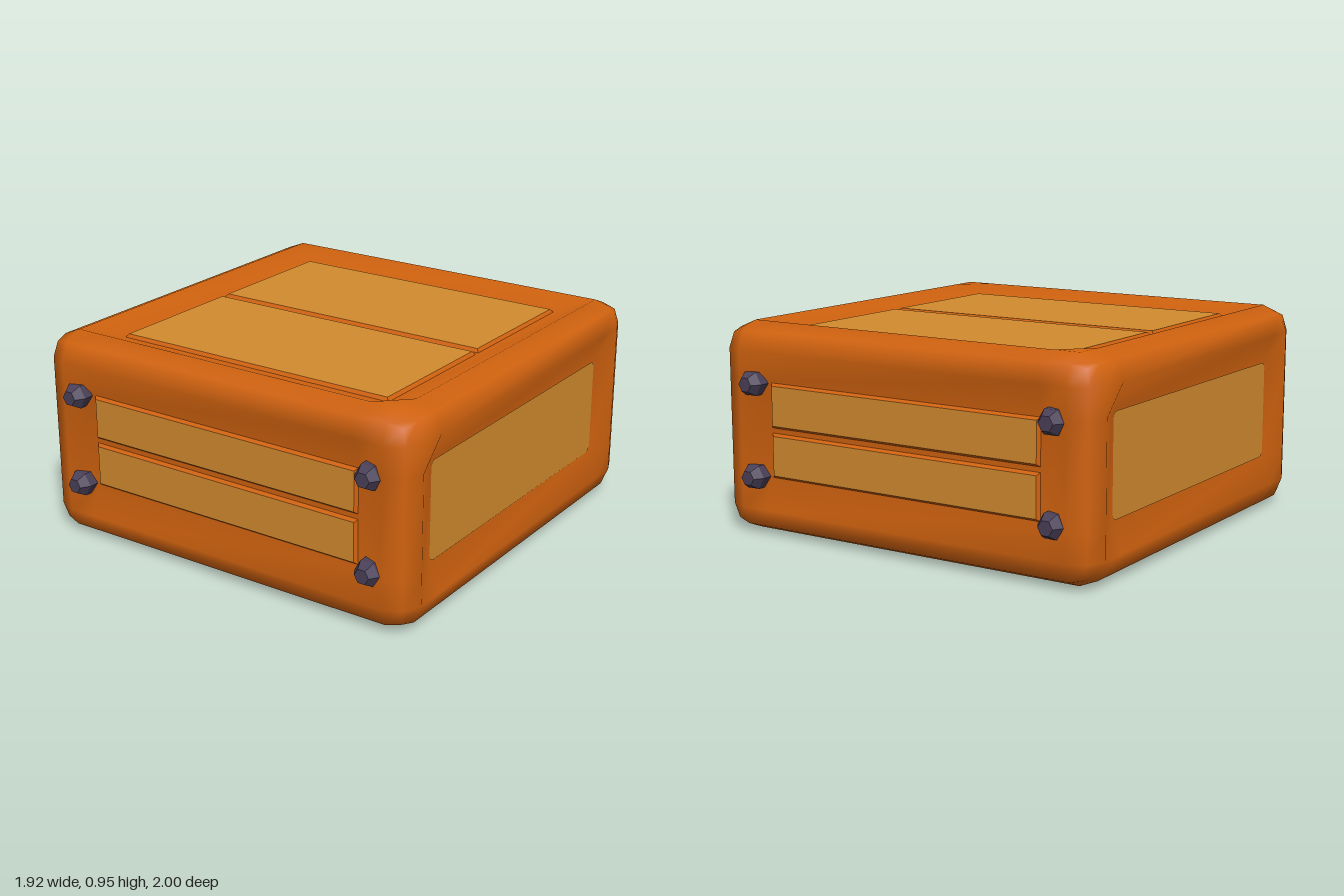
import * as THREE from 'three';
import { mergeVertices } from 'three/addons/utils/BufferGeometryUtils.js';

const HALF = [0.96, 0.475, 0.96]; // body half sizes
const ROUND = 0.12; // edge rounding
const RIM = 0.25; // edge to sunken field
const DIP = 0.05; // depth of the sunken fields

const material = (name, color) => {
  const m = new THREE.MeshStandardMaterial({ color });
  m.name = name;
  return m;
};

// Rounded block whose six faces dip inward to a flat field
function bodyGeometry() {
  const g = new THREE.BoxGeometry(2, 2, 2, 5, 5, 5);
  g.deleteAttribute('normal');
  g.deleteAttribute('uv');
  const pos = g.attributes.position;
  for (let i = 0; i < pos.count; i++) {
    const index = [0, 1, 2].map((a) => Math.round((pos.getComponent(i, a) + 1) * 2.5));
    const dir = new THREE.Vector3();
    const p = new THREE.Vector3();
    index.forEach((k, a) => {
      const sign = k < 3 ? -1 : 1;
      const ring = Math.min(k, 5 - k); // 0 edge, 1 end of rounding, 2 field
      if (ring === 0) dir.setComponent(a, sign);
      p.setComponent(a, sign * (HALF[a] - (ring === 2 ? RIM : ROUND)));
    });
    const inField = index.filter((k) => k === 2 || k === 3).length === 2;
    p.addScaledVector(dir.normalize(), inField ? ROUND - DIP : ROUND);
    pos.setXYZ(i, p.x, p.y, p.z);
  }
  const merged = mergeVertices(g);
  merged.computeVertexNormals();
  return merged;
}

// Slab with sloping sides, facing +z
function slabGeometry(w, h, t, inset) {
  const g = new THREE.BoxGeometry(w, h, t);
  const pos = g.attributes.position;
  for (let i = 0; i < pos.count; i++) {
    if (pos.getZ(i) < 0) continue;
    pos.setX(i, pos.getX(i) - Math.sign(pos.getX(i)) * inset);
    pos.setY(i, pos.getY(i) - Math.sign(pos.getY(i)) * inset);
  }
  g.computeVertexNormals();
  return g;
}

function roundedRect(w, h, r) {
  const s = new THREE.Shape();
  const x = w / 2 - r, y = h / 2 - r;
  s.absarc(x, y, r, 0, Math.PI / 2);
  s.absarc(-x, y, r, Math.PI / 2, Math.PI);
  s.absarc(-x, -y, r, Math.PI, Math.PI * 1.5);
  s.absarc(x, -y, r, Math.PI * 1.5, Math.PI * 2);
  return new THREE.ShapeGeometry(s, 4);
}

export function createModel() {
  const orange = material('orange casing', 0xd0620f);
  const ochre = material('ochre panel', 0xd38b2e);
  const dark = material('dark bolt', 0x4a4058);
  dark.flatShading = true;

  const model = new THREE.Group();
  model.name = 'panelledBox';
  const add = (parent, name, geometry, mat, x = 0, y = 0, z = 0) => {
    const mesh = new THREE.Mesh(geometry, mat);
    mesh.name = name;
    mesh.position.set(x, y, z);
    parent.add(mesh);
    return mesh;
  };
  // Holder whose local +z is the outward direction of one side
  const side = (name, rx, ry) => {
    const g = new THREE.Group();
    g.name = name;
    g.position.y = HALF[1];
    g.rotation.set(rx, ry, 0);
    model.add(g);
    return g;
  };

  add(model, 'body', bodyGeometry(), orange, 0, HALF[1], 0);

  const wide = 2 * (HALF[0] - RIM);
  const low = 2 * (HALF[1] - RIM);
  const q = Math.PI / 2;

  // Pair of raised panels, one above the other
  const panelPair = (holder, height, depth) => {
    const t = 0.03;
    const mats = [orange, orange, orange, orange, ochre, orange];
    for (const s of [-1, 1]) {
      add(holder, 'raisedPanel', slabGeometry(wide, height / 2, t, 0.023), mats,
        0, s * height / 4, depth - DIP);
    }
  };

  // Front and back: panels and four six-sided bolts
  for (const [name, ry] of [['front', 0], ['back', Math.PI]]) {
    const holder = side(name, 0, ry);
    panelPair(holder, low, HALF[2]);
    for (const x of [-0.775, 0.775]) {
      for (const y of [-0.21, 0.21]) {
        const shank = new THREE.CylinderGeometry(0.06, 0.06, 0.06, 6, 1, false, q).rotateX(q);
        const head = new THREE.CylinderGeometry(0.035, 0.06, 0.04, 6, 1, false, q).rotateX(q);
        add(holder, 'boltShank', shank, dark, x, y, 0.93);
        add(holder, 'boltHead', head, dark, x, y, 0.98);
      }
    }
  }

  // Top panels
  panelPair(side('top', -q, 0), wide, HALF[1]);

  // Flat inlays on the left, right and bottom
  for (const [name, rx, ry, h, depth] of [
    ['left', 0, q, low, HALF[0]],
    ['right', 0, -q, low, HALF[0]],
    ['bottom', q, 0, wide, HALF[1]],
  ]) {
    add(side(name, rx, ry), name + 'Inlay', roundedRect(wide, h, 0.03), ochre, 0, 0, depth - DIP + 0.004);
  }

  return model;
}
